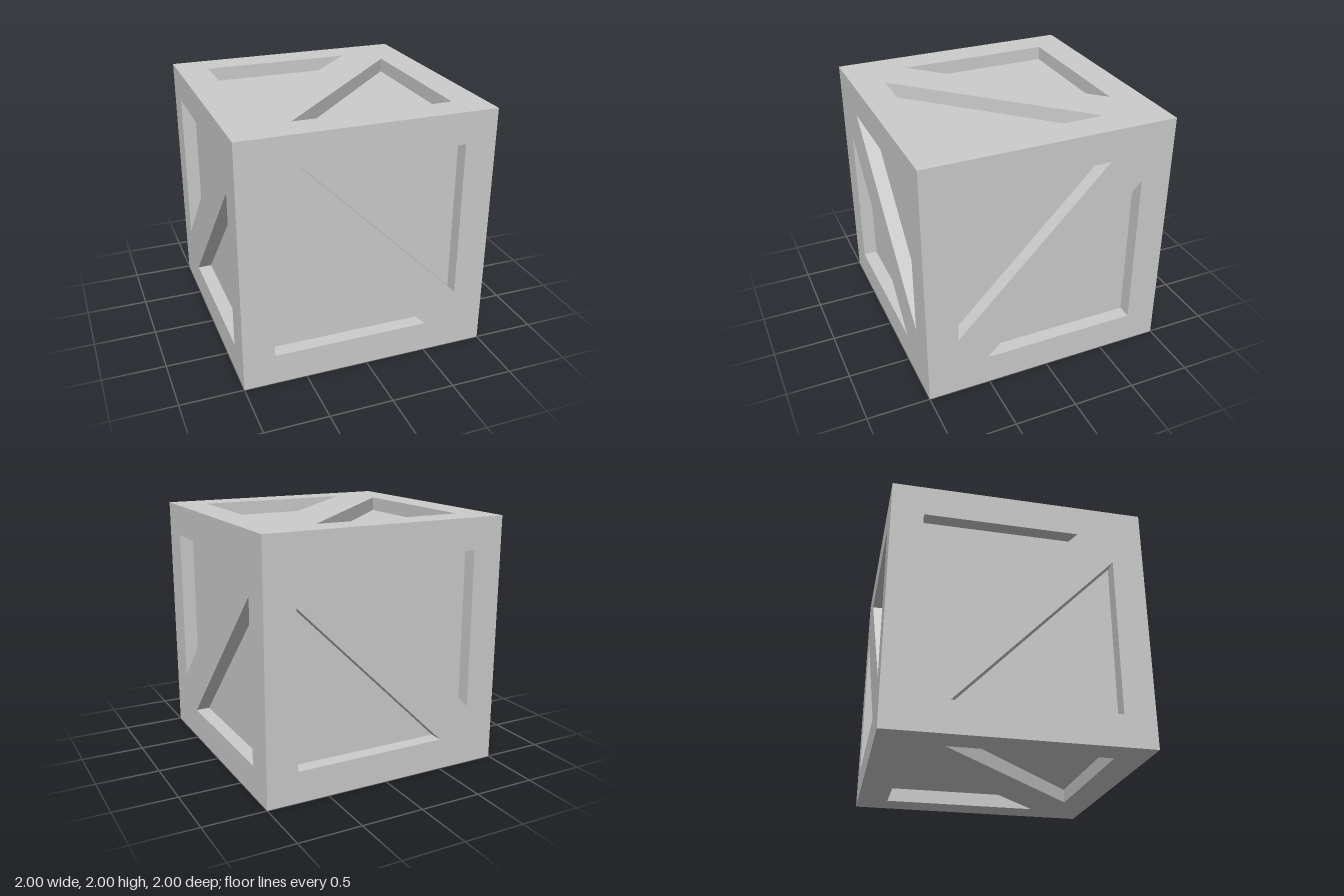
import * as THREE from 'three';

const HALF = 1;       // half the crate's edge
const DEPTH = 0.113;  // depth of the recesses

// The two triangular recesses of one side, counter-clockwise, leaving a diagonal brace
const RECESSES = [
  [[-0.75, 0.75], [-0.75, -0.5], [0.47, 0.75]],
  [[0.75, -0.75], [0.75, 0.53], [-0.51, -0.75]],
].map((tri) => tri.map(([x, y]) => new THREE.Vector2(x, y)));

// Outer frame with its diagonal brace: a square pierced by the recesses
function frameGeometry() {
  const square = new THREE.Shape([[-1, -1], [1, -1], [1, 1], [-1, 1]]
    .map(([x, y]) => new THREE.Vector2(x * HALF, y * HALF)));
  square.holes = RECESSES.map((tri) => new THREE.Path([...tri, tri[0]]));
  return new THREE.ShapeGeometry(square).translate(0, 0, HALF);
}

// Sunken board at the bottom of a recess
function boardGeometry(tri) {
  return new THREE.ShapeGeometry(new THREE.Shape(tri)).translate(0, 0, HALF - DEPTH);
}

// Inward-facing walls around a recess
function wallGeometry(tri) {
  const positions = [];
  const low = HALF - DEPTH;
  tri.forEach((a, i) => {
    const b = tri[(i + 1) % tri.length];
    positions.push(a.x, a.y, low, a.x, a.y, HALF, b.x, b.y, low);
    positions.push(b.x, b.y, low, a.x, a.y, HALF, b.x, b.y, HALF);
  });
  const geometry = new THREE.BufferGeometry();
  geometry.setAttribute('position', new THREE.Float32BufferAttribute(positions, 3));
  geometry.computeVertexNormals();
  return geometry;
}

export function createModel() {
  const material = new THREE.MeshStandardMaterial({ color: 0xcccccc, flatShading: true });
  const crate = new THREE.Group();
  crate.name = 'crate';

  const frame = frameGeometry();
  const boards = RECESSES.map(boardGeometry);
  const walls = RECESSES.map(wallGeometry);

  const add = (parent, name, geometry) => {
    const mesh = new THREE.Mesh(geometry, material);
    mesh.name = name;
    parent.add(mesh);
  };

  // Six equal sides; the front and back are rolled so their brace falls to the right
  const Q = Math.PI / 2;
  const sides = {
    frontSide: [0, 0, Q],
    backSide: [0, 2 * Q, Q],
    leftSide: [0, Q, 0],
    rightSide: [0, -Q, 0],
    topSide: [-Q, 0, 0],
    bottomSide: [Q, 0, 0],
  };
  for (const [name, rotation] of Object.entries(sides)) {
    const side = new THREE.Group();
    side.name = name;
    add(side, 'bracedFrame', frame);
    boards.forEach((g) => add(side, 'sunkenBoard', g));
    walls.forEach((g) => add(side, 'recessWalls', g));
    side.rotation.set(...rotation);
    side.position.y = HALF;
    crate.add(side);
  }
  return crate;
}
